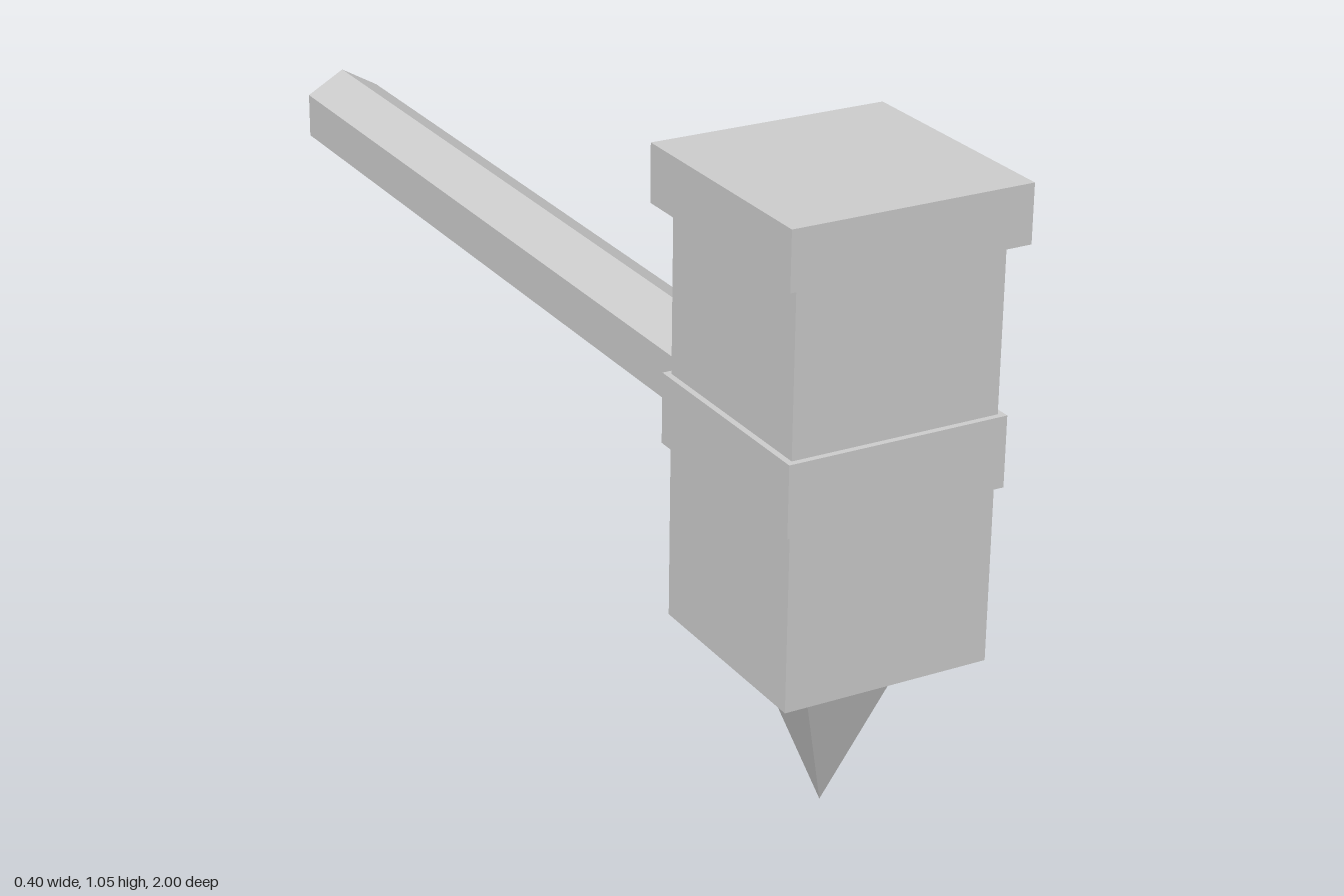
import * as THREE from 'three';

export function createModel() {
  const model = new THREE.Group();
  model.name = 'spikedHammer';
  const grey = new THREE.MeshStandardMaterial({ color: 0xcccccc, flatShading: true });
  grey.name = 'plain grey';
  const headZ = 0.8;

  const add = (name, geometry, y, z) => {
    const mesh = new THREE.Mesh(geometry, grey);
    mesh.name = name;
    mesh.position.set(0, y, z);
    model.add(mesh);
  };

  // Square head sections: name, width, bottom, top
  for (const [name, width, bottom, top] of [
    ['headBlock', 0.35, 0.285, 0.97],
    ['headBand', 0.37, 0.575, 0.691],
    ['headCap', 0.4, 0.961, 1.055],
  ]) {
    add(name, new THREE.BoxGeometry(width, top - bottom, width), (bottom + top) / 2, headZ);
  }

  // Four-sided spike pointing down
  const spike = new THREE.ConeGeometry(0.094 * Math.SQRT2, 0.285, 4);
  spike.rotateY(Math.PI / 4).rotateX(Math.PI);
  add('spike', spike, 0.1425, headZ);

  // Hexagonal handle running back from inside the head, corner edges up and down
  const handleLength = 1.7;
  const handle = new THREE.CylinderGeometry(0.082, 0.082, handleLength, 6);
  handle.rotateX(Math.PI / 2);
  add('handle', handle, 0.587, -1 + handleLength / 2);

  return model;
}
